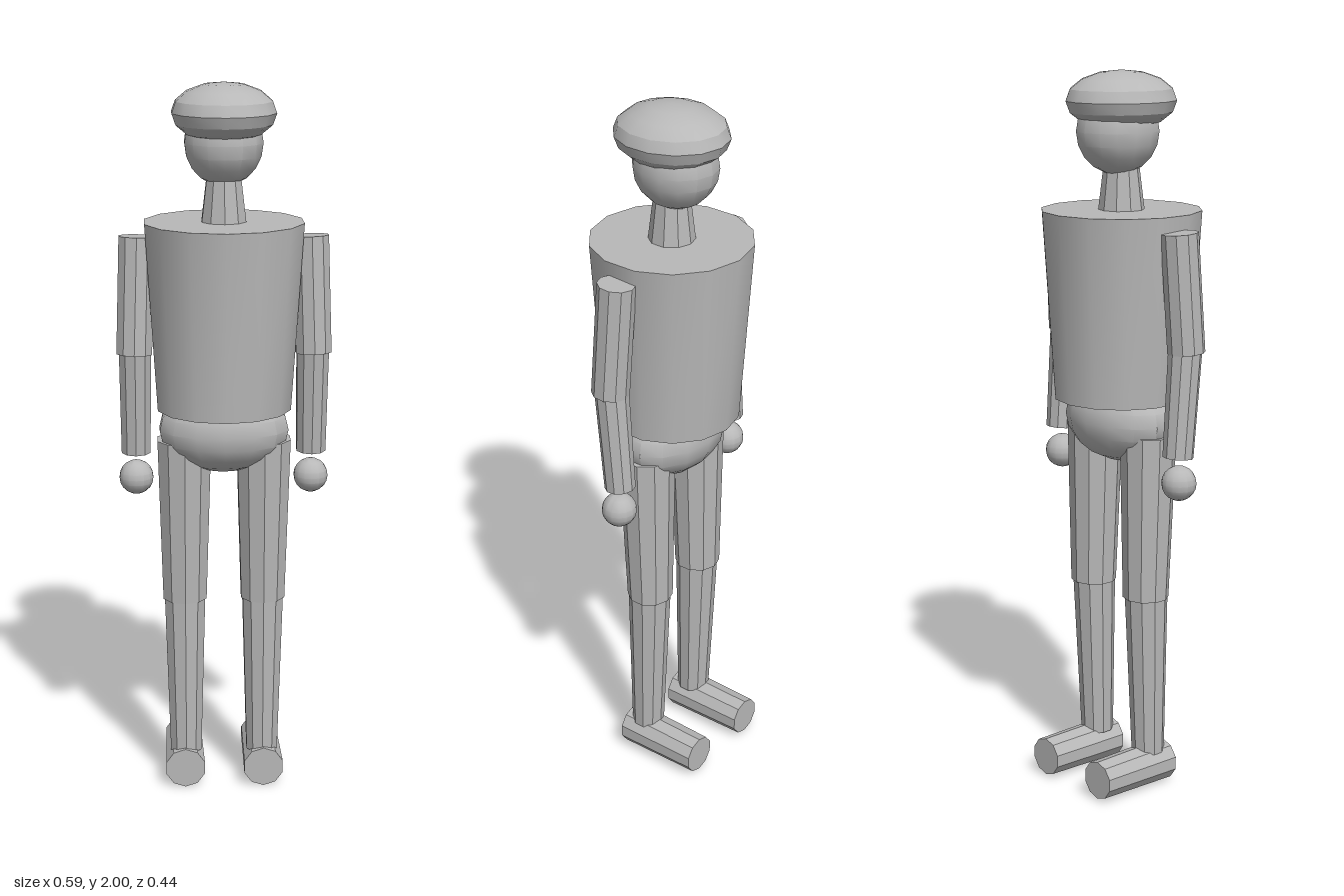
import * as THREE from 'three';
import { toCreasedNormals } from 'three/addons/utils/BufferGeometryUtils.js';

export function createModel() {
  const group = new THREE.Group();
  const grey = new THREE.MeshStandardMaterial({ color: 0xb8b8b8 });
  grey.name = 'plain grey';
  const CREASE = 0.52;

  const add = (name, geometry) => {
    const mesh = new THREE.Mesh(toCreasedNormals(geometry, CREASE), grey);
    mesh.name = name;
    group.add(mesh);
    return mesh;
  };

  // Capped tapered cylinder running from point a to point b
  const limb = (name, a, b, ra, rb, sides = 10) => {
    const start = new THREE.Vector3(...a), end = new THREE.Vector3(...b);
    const dir = end.clone().sub(start);
    const mesh = add(name, new THREE.CylinderGeometry(rb, ra, dir.length(), sides));
    mesh.position.copy(start).add(end).multiplyScalar(0.5);
    mesh.quaternion.setFromUnitVectors(new THREE.Vector3(0, 1, 0), dir.normalize());
  };

  // Ellipsoid with a corner on the z axis
  const ball = (name, pos, radii, rings = 10) => {
    const geometry = new THREE.SphereGeometry(1, 14, rings);
    geometry.rotateY(Math.PI / 2).scale(...radii);
    add(name, geometry).position.set(...pos);
  };

  // Trunk
  limb('torso', [0, 1.115, 0], [0, 1.63, 0], 0.187, 0.22, 14);
  ball('pelvis', [0, 1.055, 0], [0.182, 0.12, 0.13]);
  limb('neck', [0, 1.62, 0], [0, 1.76, 0], 0.064, 0.047);

  // Head and cap
  ball('head', [0, 1.84, -0.013], [0.108, 0.116, 0.118]);
  ball('cap', [0, 1.92, 0], [0.143, 0.08, 0.158], 8);

  for (const [side, s] of [['left', 1], ['right', -1]]) {
    // Arms, slightly bent at the elbow
    limb(side + 'UpperArm', [s * 0.245, 1.27, 0.012], [s * 0.235, 1.59, -0.006], 0.051, 0.051);
    limb(side + 'Forearm', [s * 0.243, 0.987, -0.014], [s * 0.243, 1.28, 0.01], 0.042, 0.046);
    ball(side + 'Hand', [s * 0.243, 0.915, -0.01], [0.048, 0.048, 0.048]);

    // Legs
    limb(side + 'Thigh', [s * 0.11, 0.56, -0.008], [s * 0.11, 1.025, 0], 0.064, 0.078);
    limb(side + 'Shin', [s * 0.109, 0.1, 0.003], [s * 0.11, 0.57, -0.006], 0.046, 0.06);

    // Feet lie along z
    limb(side + 'Foot', [s * 0.112, 0.062, -0.19], [s * 0.112, 0.06, 0.058], 0.054, 0.058);
  }
  return group;
}
